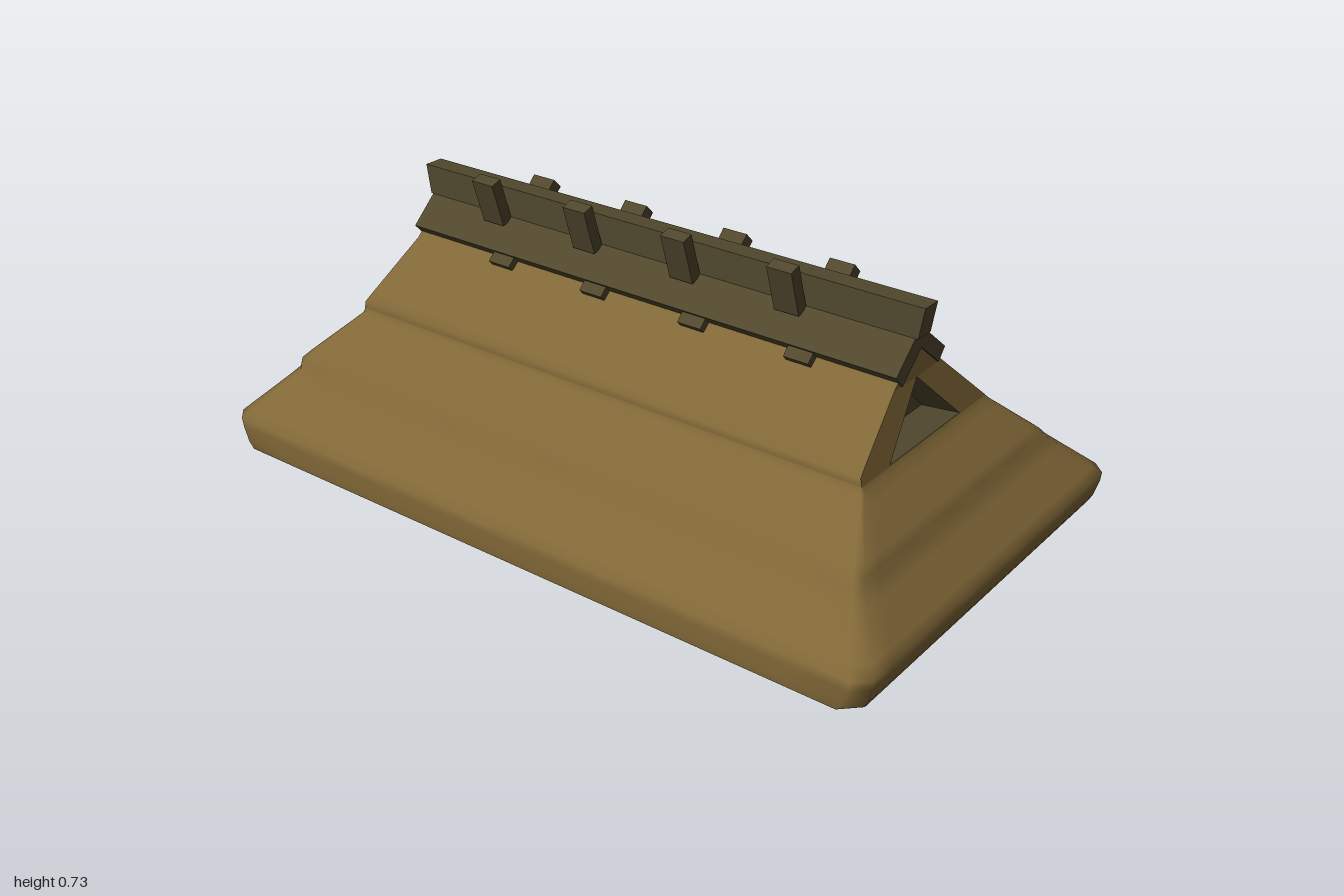
import * as THREE from 'three';
import { toCreasedNormals } from 'three/addons/utils/BufferGeometryUtils.js';

const thatch = new THREE.MeshStandardMaterial({ color: 0x806737, side: THREE.DoubleSide });
thatch.name = 'thatch';
const wood = new THREE.MeshStandardMaterial({ color: 0x50472d, side: THREE.DoubleSide });
wood.name = 'weathered wood';

// Skins a list of equally long point rows
function loft(rows, closed, smooth) {
  const n = rows[0].length, index = [];
  for (let r = 0; r < rows.length - 1; r++) {
    for (let i = 0; i < (closed ? n : n - 1); i++) {
      const a = r * n + i, b = r * n + (i + 1) % n;
      index.push(a, b, a + n, b, b + n, a + n);
    }
  }
  const g = new THREE.BufferGeometry();
  g.setAttribute('position', new THREE.Float32BufferAttribute(rows.flat(2), 3));
  g.setIndex(index);
  if (!smooth) return toCreasedNormals(g, 0.4);
  g.computeVertexNormals();
  return g;
}

// The back slope is one straight plane
const backZ = (y) => 0.59 - Math.max(0, y - 0.085) * 1.141;

// Rectangular ring with cut corners; wave ruffles the front and end edges
function ring([y, x, zf, zb = backZ(y), wave = 0]) {
  const c = 0.003 + 0.042 * Math.max(0, 1 - y / 0.35), seg = 14, pts = [];
  const corners = [
    [-x + c, zf], [x - c, zf], [x, zf - c], [x, -zb + c],
    [x - c, -zb], [-x + c, -zb], [-x, -zb + c], [-x, zf - c],
  ];
  corners.forEach(([ax, az], i) => {
    const [bx, bz] = corners[(i + 1) % 8], steps = i % 2 ? 1 : seg;
    for (let s = 0; s < steps; s++) {
      const t = s / steps;
      const ruffle = i === 4 ? 0 : wave * Math.sin(s * 2.3 + i + y * 40) * Math.sin(Math.PI * t);
      pts.push([ax + (bx - ax) * t, y + ruffle, az + (bz - az) * t]);
    }
  });
  return pts;
}

const gableX = (y) => 0.785 - 0.035 * Math.min(1, Math.max(0, (y - 0.35) / 0.15));
const opening = [[0.16, 0.353], [0, 0.502], [-0.16, 0.353]];
const ventBack = [[0.125, 0.362], [0, 0.478], [-0.125, 0.362]];
const vec = (pts) => pts.map(([a, b]) => new THREE.Vector2(a, b));

// Flat wall across the end, given as [z, y] points, with x set by a rule
function endWall(outline, hole, xAt) {
  const shape = new THREE.Shape(vec(outline));
  if (hole) shape.holes.push(new THREE.Path(vec(hole)));
  const g = new THREE.ShapeGeometry(shape), p = g.attributes.position;
  for (let i = 0; i < p.count; i++) {
    const z = p.getX(i), y = p.getY(i);
    p.setXYZ(i, xAt(y), y, z);
  }
  return toCreasedNormals(g, 0.2);
}

export function createModel() {
  const model = new THREE.Group();
  model.name = 'thatchedRoof';
  const add = (name, geometry, material) => {
    const mesh = new THREE.Mesh(geometry, material);
    mesh.name = name;
    model.add(mesh);
    return mesh;
  };

  // Hipped lower roof: a softly stepped skin, open underneath
  add('lowerThatch', loft([
    [0, 0.975, 0.587],
    [0.02, 0.985, 0.59],
    [0.06, 0.996, 0.59],
    [0.085, 0.998, 0.59, 0.59, 0.004],
    [0.105, 0.98, 0.565],
    [0.175, 0.916, 0.478],
    [0.20, 0.895, 0.448, backZ(0.2), 0.004],
    [0.226, 0.888, 0.443, backZ(0.226), 0.004],
    [0.245, 0.873, 0.418],
    [0.315, 0.81, 0.313],
    [0.335, 0.792, 0.285, backZ(0.335), 0.003],
    [0.35, 0.785, 0.28],
  ].map(ring), true, true), thatch);

  // Flat rim under the eaves
  add('eavesRim', loft([[0, 0.90, 0.50, 0.50], [0, 0.975, 0.587, 0.59]].map(ring), true, true), thatch);

  // Upper slopes
  const slope = [[0.28, 0.35], [0.28, 0.37], [0.255, 0.39], [0.1, 0.505], [0, 0.595],
    [-backZ(0.505), 0.505], [-backZ(0.37), 0.37], [-backZ(0.35), 0.35]];
  add('upperThatch', loft(slope.map(([z, y]) =>
    [[-gableX(y), y, z], [gableX(y), y, z]]), false, true), thatch);

  // Gable ends with a wooden vent sunk into each
  for (const s of [1, -1]) {
    const side = s > 0 ? 'left' : 'right';
    const reveal = (i) => [[s * gableX(opening[i][1]), opening[i][1], opening[i][0]],
      [s * 0.70, ventBack[i][1], ventBack[i][0]]];
    add(side + 'Gable', endWall(slope, opening, (y) => s * gableX(y)), thatch);
    add(side + 'VentReveal', loft([0, 1, 2].map(reveal), false, false), wood);
    add(side + 'VentSill', loft([2, 0].map(reveal), false, false), wood);
    add(side + 'VentPanel', endWall(ventBack, null, () => s * 0.70), wood);
  }

  // Timber running between two [z, y] points
  function timber(name, x, width, thick, [z1, y1], [z2, y2]) {
    const length = Math.hypot(z2 - z1, y2 - y1);
    const m = add(name, new THREE.BoxGeometry(width, length, thick), wood);
    m.position.set(x, (y1 + y2) / 2, (z1 + z2) / 2);
    m.rotation.x = Math.atan2(z2 - z1, y2 - y1);
  }

  // Ridge boards
  timber('frontRidgeBoard', 0, 1.51, 0.046, [0.088, 0.523], [-0.008, 0.612]);
  timber('backRidgeBoard', 0, 1.51, 0.04, [-0.104, 0.522], [0.008, 0.612]);

  // Ridge beam with slanted ends
  const beam = new THREE.BoxGeometry(1.55, 0.08, 0.056), p = beam.attributes.position;
  for (let i = 0; i < p.count; i++) if (p.getY(i) < 0) p.setX(i, p.getX(i) * 0.983);
  beam.computeVertexNormals();
  add('ridgeBeam', beam, wood).position.y = 0.65;

  // Crossed pegs that pin the ridge
  for (let i = 0; i < 4; i++) {
    const x = -0.505 + i * 0.31;
    timber('steepPeg', x, 0.07, 0.034, [0.042, 0.598], [0.08, 0.72]);
    timber('slantedPeg', x + 0.07, 0.07, 0.036, [0.107, 0.501], [-0.081, 0.688]);
  }
  return model;
}
